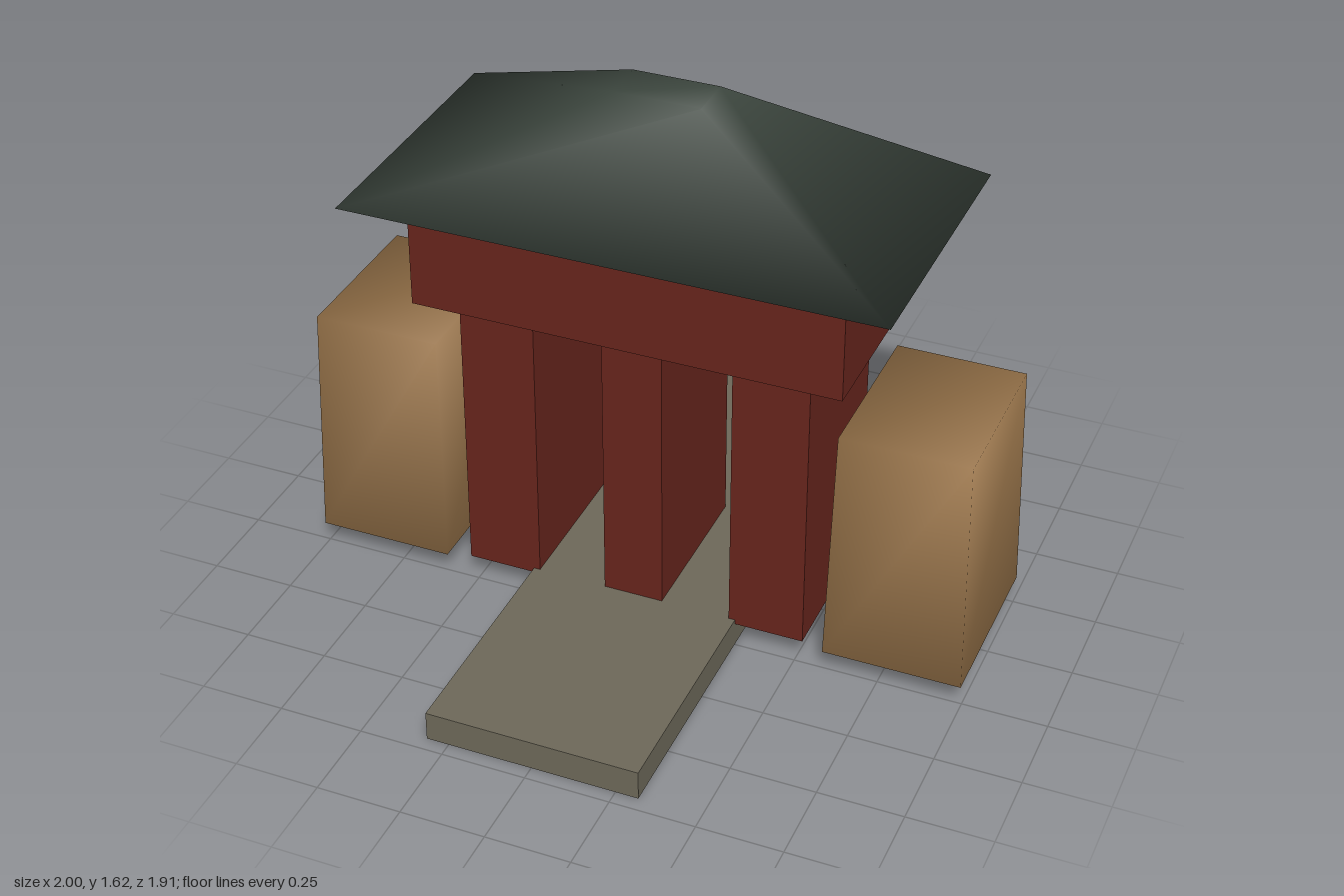
import * as THREE from 'three';
import { mergeVertices } from 'three/addons/utils/BufferGeometryUtils.js';

const paint = (color) => new THREE.MeshStandardMaterial({ color });
const red = paint(0x66241c);
const tan = paint(0xa07a4e);
const slate = paint(0x3d473f);
const stone = paint(0x6c6758);

export function createModel() {
  const model = new THREE.Group();

  const add = (name, geometry, material, x, y) => {
    const mesh = new THREE.Mesh(geometry, material);
    mesh.name = name;
    mesh.position.set(x, y, 0);
    model.add(mesh);
  };

  // Plain block standing on y0
  const block = (name, material, x, y0, y1, w, d) =>
    add(name, new THREE.BoxGeometry(w, y1 - y0, d), material, x, (y0 + y1) / 2);

  // Tapered block with shared corners, shaded smoothly across its edges
  const taper = (name, material, x, y0, y1, [w0, d0], [w1, d1]) => {
    let g = new THREE.BoxGeometry(w0, y1 - y0, d0);
    g.deleteAttribute('uv');
    g.deleteAttribute('normal');
    g = mergeVertices(g);
    const p = g.attributes.position;
    for (let i = 0; i < p.count; i++) {
      if (p.getY(i) > 0) {
        p.setX(i, p.getX(i) * w1 / w0);
        p.setZ(i, p.getZ(i) * d1 / d0);
      }
    }
    g.computeVertexNormals();
    add(name, g, material, x, (y0 + y1) / 2);
  };

  // Path running through the gate
  block('path', stone, 0, 0, 0.09, 0.634, 1.914);

  // Pillars and the upper storey they carry
  block('middlePillar', red, 0, 0.075, 0.97, 0.18, 0.5);
  for (const [side, s] of [['left', 1], ['right', -1]]) {
    block(side + 'Pillar', red, s * 0.41, 0.075, 0.97, 0.225, 0.5);
    // Flanking wall stubs
    taper(side + 'Wall', tan, s * 0.795, 0.075, 0.8, [0.41, 0.544], [0.38, 0.5]);
  }
  block('upperStorey', red, 0, 0.97, 1.3, 1.27, 0.634);

  // Hipped roof with a flat ridge
  taper('roof', slate, 0, 1.3, 1.615, [1.585, 0.862], [0.255, 0.14]);

  return model;
}
